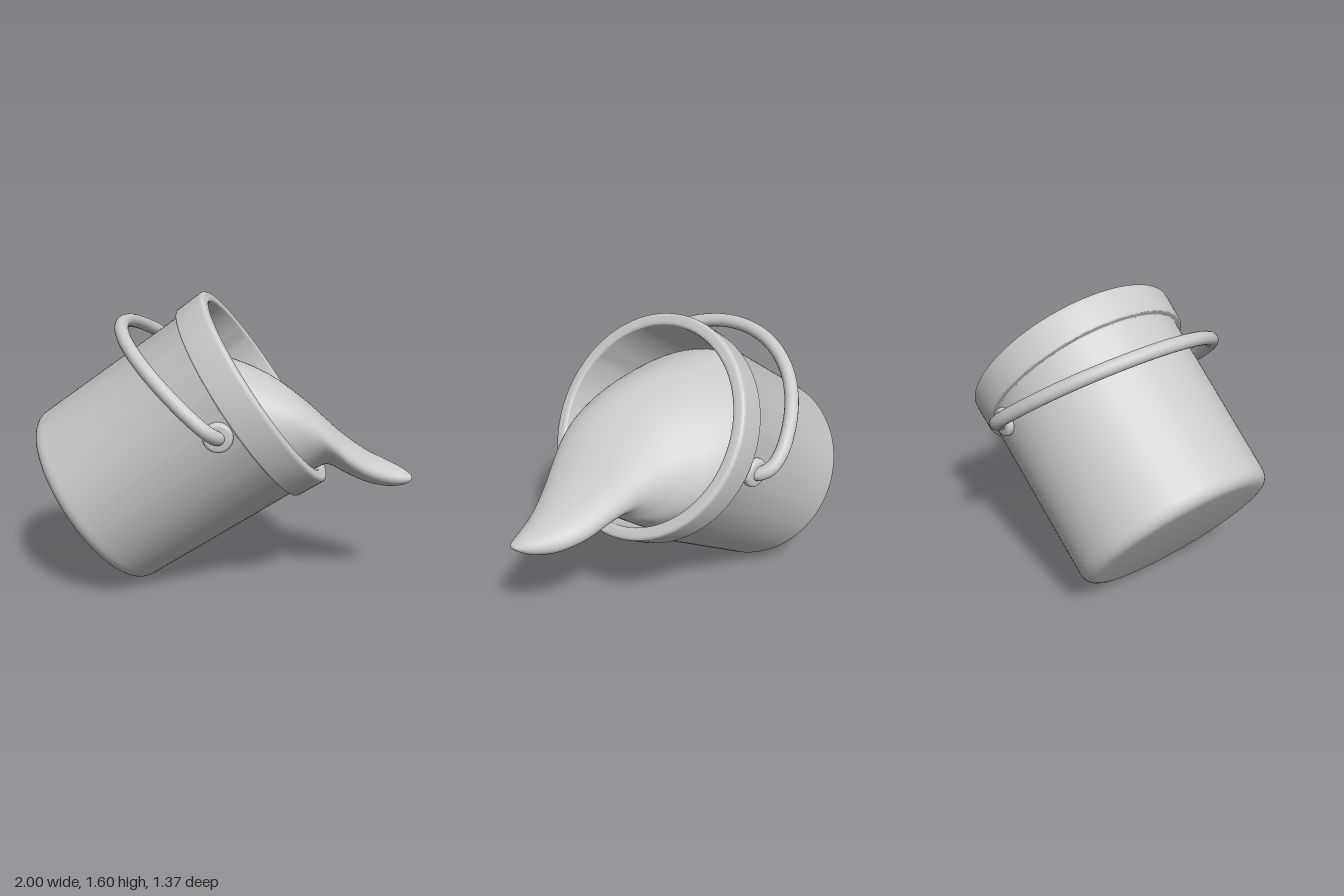
import * as THREE from 'three';
import { toCreasedNormals } from 'three/addons/utils/BufferGeometryUtils.js';

const V = (x, y, z) => new THREE.Vector3(x, y, z);

// Lathe whose profile corners [radius, height, rounding] are softened
function roundedLathe(corners, segments = 96) {
  const pts = corners.map(([r, y]) => new THREE.Vector2(r, y));
  const out = [pts[0]];
  for (let i = 1; i < pts.length - 1; i++) {
    const p = pts[i], b = corners[i][2];
    const toward = q => q.clone().sub(p).setLength(b).add(p);
    out.push(...new THREE.QuadraticBezierCurve(toward(pts[i - 1]), p, toward(pts[i + 1])).getPoints(8));
  }
  out.push(pts[pts.length - 1]);
  return toCreasedNormals(new THREE.LatheGeometry(out, segments), 0.6);
}

// Smooth loft: each row is [top x, top y, bottom x, bottom y, back z, front z, skew]
function loft(rows, rings, sides) {
  const curve = pick => new THREE.CatmullRomCurve3(rows.map(pick), false, 'catmullrom', 0.5);
  const top = curve(r => V(r[0], r[1], r[4]));
  const low = curve(r => V(r[2], r[3], r[5]));
  const skew = curve(r => V(r[6], 0, 0));
  const pos = [], index = [];
  for (let i = 0; i <= rings; i++) {
    const t = i / rings, T = top.getPoint(t), B = low.getPoint(t), k = skew.getPoint(t).x;
    const c = T.clone().add(B).multiplyScalar(0.5);
    const h = T.clone().sub(B).multiplyScalar(0.5);
    for (let j = 0; j < sides; j++) {
      const a = j / sides * Math.PI * 2, u = Math.cos(a), s = Math.sin(a);
      pos.push(c.x + u * h.x + s * k * h.z, c.y + u * h.y, c.z - s * h.z + u * k * h.x * -0.5 * -1);
      if (i < rings) {
        const a0 = i * sides + j, a1 = i * sides + (j + 1) % sides;
        index.push(a0, a1, a1 + sides, a0, a1 + sides, a0 + sides);
      }
    }
  }
  const g = new THREE.BufferGeometry();
  g.setAttribute('position', new THREE.Float32BufferAttribute(pos, 3));
  g.setIndex(index);
  g.computeVertexNormals();
  return g;
}

export function createModel() {
  const model = new THREE.Group();
  const mat = new THREE.MeshStandardMaterial({ color: 0xcccccc });
  const liquidMat = new THREE.MeshStandardMaterial({ color: 0xcccccc, side: THREE.DoubleSide });
  const add = (parent, name, geo, m = mat) => {
    const mesh = new THREE.Mesh(geo, m);
    mesh.name = name;
    parent.add(mesh);
    return mesh;
  };

  // Tilted bucket frame: y runs along the bucket's axis, z through the handle pivots
  const bucket = new THREE.Group();
  bucket.name = 'bucket';
  const axis = V(0.803, 0.566, 0.181).normalize();
  const down = axis.clone().cross(V(-0.22, 0, 0.975)).normalize();
  const side = down.clone().cross(axis);
  bucket.quaternion.setFromRotationMatrix(new THREE.Matrix4().makeBasis(down, axis, side));
  bucket.position.set(-0.696, 0.436, -0.15);
  model.add(bucket);

  // Hollow body with the raised rim band
  add(bucket, 'bucketBody', roundedLathe([
    [0, 0], [0.55, 0, 0.08], [0.574, 1.01, 0.008], [0.605, 1.01, 0.012],
    [0.612, 1.19, 0.025], [0.543, 1.19, 0.02], [0.515, 0.06, 0.04], [0, 0.06],
  ]));

  // Handle pivots
  const pivotY = 0.925;
  for (const s of [1, -1]) {
    const boss = add(bucket, s > 0 ? 'frontPivot' : 'backPivot',
      roundedLathe([[0, 0], [0.077, 0, 0.002], [0.077, 0.06, 0.022], [0, 0.06]], 40));
    boss.rotation.x = s * Math.PI / 2;
    boss.position.set(0, pivotY, s * 0.545);
  }

  // Bail handle: an arch with hooked ends, swung back along the body
  const arch = [[0.54, 0], [0.6, 0], [0.65, 0.055]];
  for (let i = 1; i <= 7; i++) {
    const a = 0.2 + (Math.PI / 2 - 0.2) * (i - 1) / 6;
    arch.push([0.67 * Math.cos(a), 0.74 * Math.sin(a)]);
  }
  const place = ([s, q], m) => V(-0.966 * q, pivotY - 0.257 * q, m * s);
  const path = [...arch.map(p => place(p, 1)), ...arch.slice(0, -1).reverse().map(p => place(p, -1))];
  add(bucket, 'handle', new THREE.TubeGeometry(new THREE.CatmullRomCurve3(path), 140, 0.037, 18));

  // Thick contents sliding out over the rim into a narrow tongue
  add(model, 'pouringContents', loft([
    [-0.50, 1.21, 0.07, 0.345, -0.55, 0.47, -0.22],
    [-0.40, 1.297, 0.193, 0.414, -0.54, 0.51, -0.22],
    [-0.12, 1.30, 0.36, 0.54, -0.48, 0.52, -0.2],
    [0.10, 1.25, 0.48, 0.64, -0.36, 0.51, -0.16],
    [0.28, 1.17, 0.54, 0.685, -0.21, 0.495, -0.1],
    [0.45, 1.045, 0.585, 0.69, -0.09, 0.48, -0.05],
    [0.62, 0.89, 0.65, 0.66, 0.005, 0.465, 0],
    [0.76, 0.785, 0.76, 0.61, 0.085, 0.447, 0],
    [0.88, 0.725, 0.87, 0.59, 0.175, 0.437, 0],
    [0.955, 0.69, 0.945, 0.602, 0.265, 0.43, 0],
    [0.99, 0.665, 0.985, 0.628, 0.335, 0.415, 0],
    [1, 0.65, 1, 0.65, 0.38, 0.38, 0],
  ], 88, 64), liquidMat);

  return model;
}
